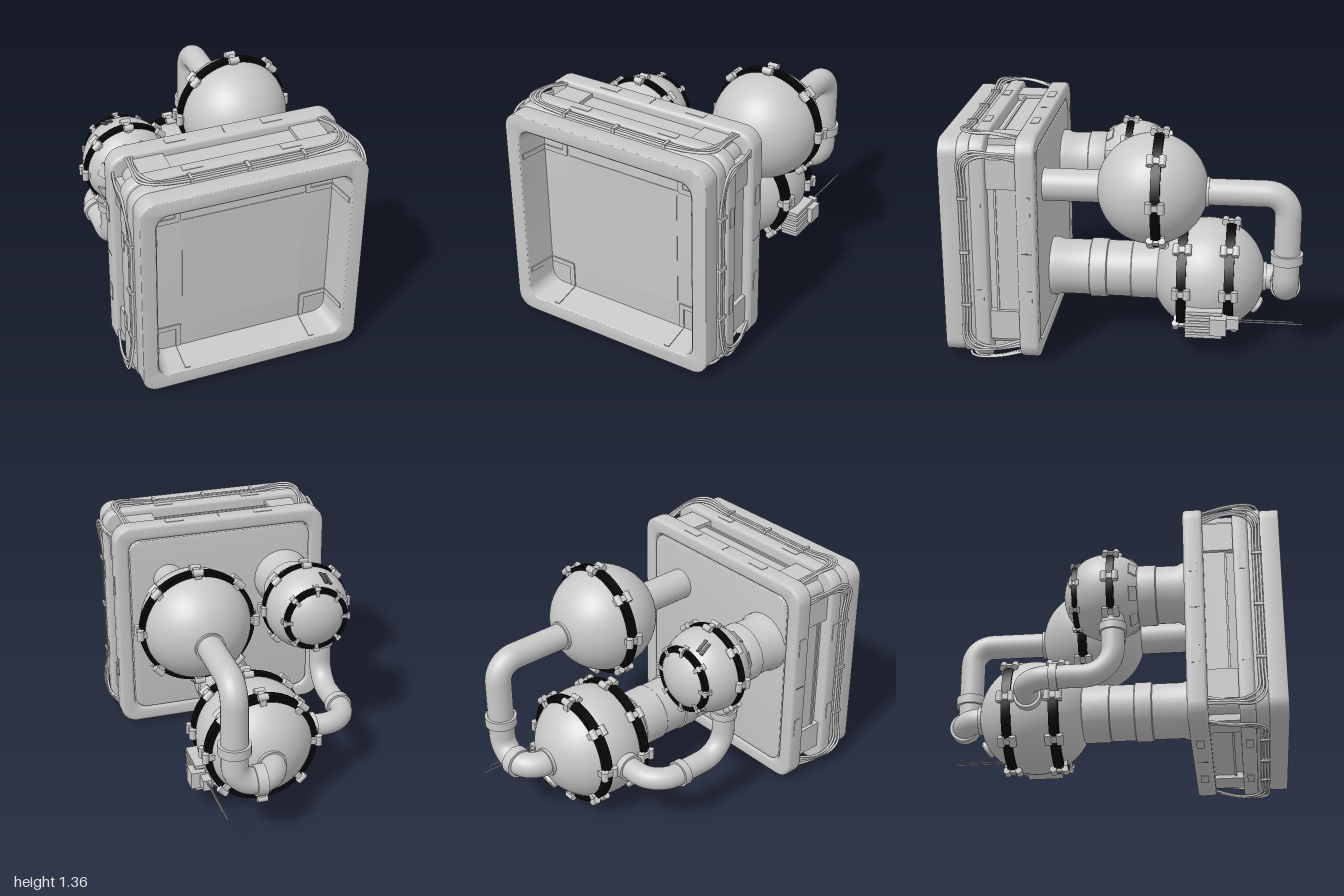
import * as THREE from 'three';
import { toCreasedNormals } from 'three/addons/utils/BufferGeometryUtils.js';

const V = (x, y, z) => new THREE.Vector3(x, y, z);
const MID = 0.68; // height of the panel centre

export function createModel() {
  const metal = new THREE.MeshStandardMaterial({ color: 0xc8c8c8 });
  metal.name = 'grey metal';
  metal.side = THREE.DoubleSide;
  const rubber = new THREE.MeshStandardMaterial({ color: 0x060606 });
  rubber.name = 'black rubber';
  const dark = new THREE.MeshStandardMaterial({ color: 0x5a5a5a });
  dark.name = 'dark slits';

  const model = new THREE.Group();
  model.name = 'pressureVesselModule';

  const add = (parent, name, geo, mat = metal, p = [0, 0, 0]) => {
    const m = new THREE.Mesh(geo, mat);
    m.name = name;
    m.position.set(...p);
    parent.add(m);
    return m;
  };
  const group = (parent, name, x = 0, y = 0, z = 0) => {
    const g = new THREE.Group();
    g.name = name;
    g.position.set(x, y, z);
    parent.add(g);
    return g;
  };
  // Box given by its limits
  const box = (parent, name, x0, x1, y0, y1, z0, z1, mat) =>
    add(parent, name, new THREE.BoxGeometry(x1 - x0, y1 - y0, z1 - z0), mat,
      [(x0 + x1) / 2, (y0 + y1) / 2, (z0 + z1) / 2]);

  // Square outline with rounded corners
  const outline = (h, r, C = THREE.Shape) => {
    const s = new C();
    [[1, 1], [-1, 1], [-1, -1], [1, -1]].forEach(([sx, sy], i) =>
      s.absarc(sx * (h - r), sy * (h - r), r, i * Math.PI / 2, (i + 1) * Math.PI / 2, false));
    s.closePath();
    return s;
  };
  const slab = (parent, name, h, r, z0, z1, bevel, hole) => {
    const s = outline(h, r);
    if (hole) s.holes.push(outline(hole, 0.07, THREE.Path));
    const geo = new THREE.ExtrudeGeometry(s, {
      depth: z1 - z0 - 2 * bevel, bevelThickness: bevel, bevelSize: bevel,
      bevelOffset: -bevel, bevelSegments: 3, curveSegments: 8,
    });
    return add(parent, name, toCreasedNormals(geo, 0.6), metal, [0, 0, z0 + bevel]);
  };

  // Turned part along z, from [radius, z] pairs
  const turned = (parent, name, profile, mat = metal, p) => {
    const geo = new THREE.LatheGeometry(profile.map(([r, z]) => new THREE.Vector2(r, z)), 48);
    geo.rotateX(Math.PI / 2);
    return add(parent, name, toCreasedNormals(geo, 0.6), mat, p);
  };

  // Pipe along points with rounded bends
  const pipe = (parent, name, pts, radius, bend) => {
    const path = new THREE.CurvePath();
    let from = pts[0];
    for (let i = 1; i < pts.length - 1; i++) {
      const toward = (q) => pts[i].clone().add(q.clone().sub(pts[i]).setLength(bend));
      const a = toward(pts[i - 1]), b = toward(pts[i + 1]);
      const k1 = a.clone().lerp(pts[i], 0.55), k2 = b.clone().lerp(pts[i], 0.55);
      path.add(new THREE.LineCurve3(from, a));
      path.add(new THREE.CubicBezierCurve3(a, k1, k2, b));
      from = b;
    }
    path.add(new THREE.LineCurve3(from, pts[pts.length - 1]));
    return add(parent, name, new THREE.TubeGeometry(path, 80, radius, 24), metal);
  };
  const collar = (parent, name, p, dir, r, len) => {
    const m = add(parent, name, new THREE.CylinderGeometry(r, r, len, 32), metal, p);
    m.quaternion.setFromUnitVectors(V(0, 1, 0), dir.clone().normalize());
    return m;
  };

  // ---- Square housing ----
  const housing = group(model, 'housing', 0, MID, 0);
  slab(housing, 'frontFrame', 0.632, 0.09, 0.885, 1.0, 0.006, 0.545);
  slab(housing, 'frontFlange', 0.64, 0.1, 0.815, 0.895, 0.01, 0.545);
  slab(housing, 'middleFlange', 0.655, 0.1, 0.74, 0.825, 0.016);
  slab(housing, 'core', 0.585, 0.06, 0.55, 0.75, 0.005);
  slab(housing, 'rearFlange', 0.652, 0.1, 0.465, 0.575, 0.018, 0.565);
  slab(housing, 'rearInset', 0.56, 0.075, 0.47, 0.56, 0.005);

  // Tapered walls inside the front opening
  const ring = outline(0.542, 0.07).getPoints(8);
  const pos = [], idx = [];
  ring.forEach((p, i) => {
    pos.push(p.x, p.y, 0.995, p.x * 0.945, p.y * 0.945, 0.824);
    const a = 2 * i, b = 2 * ((i + 1) % ring.length);
    idx.push(a, b, a + 1, b, b + 1, a + 1);
  });
  const liner = new THREE.BufferGeometry();
  liner.setAttribute('position', new THREE.Float32BufferAttribute(pos, 3));
  liner.setIndex(idx);
  add(housing, 'openingWalls', toCreasedNormals(liner, 0.6), metal);
  box(housing, 'innerPanel', -0.345, 0.345, -0.36, 0.36, 0.82, 0.828);

  // Each of the four sides: y points outward, x runs along the side
  for (let i = 0; i < 4; i++) {
    const side = group(housing, 'housingSide');
    side.rotation.z = i * Math.PI / 2;
    box(side, 'sidePanel', -0.36, 0.36, 0.57, 0.6, 0.57, 0.695);
    box(side, 'sidePanelRim', -0.37, 0.37, 0.57, 0.608, 0.69, 0.702);
    box(side, 'flangeSeam', -0.003, 0.003, 0.62, 0.653, 0.49, 0.55, dark);
    box(side, 'cableClip', -0.01, 0.01, 0.62, 0.662, 0.84, 0.895);
    for (const s of [-1, 1]) {
      const span = (a, b) => [Math.min(s * a, s * b), Math.max(s * a, s * b)];
      box(side, 'sideBlock', ...span(0.36, 0.53), 0.57, 0.622, 0.57, 0.745);
      box(side, 'flangePad', ...span(0.22, 0.33), 0.64, 0.655, 0.495, 0.54);
      box(side, 'flangePad', ...span(0.22, 0.33), 0.64, 0.658, 0.765, 0.805);
      box(side, 'cableClip', ...span(0.305, 0.322), 0.62, 0.662, 0.84, 0.895);
      // Bars inside the opening, on the back wall and on the tapered wall
      box(side, 'innerBar', ...span(0.355, 0.385), 0.36, 0.515, 0.82, 0.832);
      const bar = add(side, 'wallBar', new THREE.BoxGeometry(0.03, 0.01, 0.16), metal,
        [s * 0.37, 0.526, 0.905]);
      bar.rotation.x = -0.172;
      // Loose cables curling round the corner
      for (let k = 0; k < 3; k++) {
        const d = k * 0.017;
        const curve = new THREE.CatmullRomCurve3([
          V(0, 0.645, 0.85 + d), V(s * 0.36, 0.648, 0.85 + d),
          V(s * (0.5 + d), 0.66 + d / 3, 0.845 + d), V(s * (0.548 + d), 0.668, 0.79 + d),
          V(s * (0.56 + d / 2), 0.662, 0.7), V(s * (0.53 + d), 0.635, 0.57),
        ]);
        add(side, 'cable', new THREE.TubeGeometry(curve, 30, 0.0075, 8), metal);
      }
    }
  }

  // ---- Spherical tanks with black seals and clamps ----
  const tank = (name, x, y, z, r, seals) => {
    const g = group(model, name, x, y, z);
    add(g, 'tankShell', new THREE.SphereGeometry(r, 56, 36).rotateX(Math.PI / 2));
    for (const [dz, R, w, scale] of seals) {
      const seal = group(g, 'seal', 0, 0, dz);
      const h = w / 2;
      turned(seal, 'sealBand', [[R - 0.05, -h], [R, -h], [R, h], [R - 0.05, h]], rubber);
      for (let i = 0; i < 8; i++) {
        const c = group(seal, 'clamp');
        c.rotation.z = i * Math.PI / 4;
        const e = 0.034 * scale, t = 0.018 * scale;
        box(c, 'clampBridge', -t, t, R - 0.03, R + 0.014 * scale, -e, e);
        for (const s of [-1, 1]) {
          box(c, 'clampFoot', -t, t, R - 0.05, R, s * e - 0.012 * scale, s * e + 0.012 * scale);
          collar(c, 'clampLug', [0, R + 0.004 * scale, s * e], V(1, 0, 0), 0.02 * scale, 0.06 * scale);
        }
      }
    }
    return g;
  };
  const small = tank('smallTank', -0.39, 0.9, 0.022, 0.248, [[0.033, 0.257, 0.042, 0.9], [-0.172, 0.192, 0.03, 0.55]]);
  tank('lowerTank', 0.08, 0.375, -0.45, 0.332, [[0.14, 0.328, 0.054, 1], [-0.13, 0.328, 0.054, 1]]);
  tank('upperTank', 0.33, 0.98, -0.143, 0.312, [[-0.039, 0.33, 0.052, 1]]);

  // Slits on top of the small tank
  for (const x of [-0.092, -0.066]) {
    const slit = add(small, 'slit', new THREE.BoxGeometry(0.019, 0.008, 0.085), dark,
      [x, Math.sqrt(0.248 ** 2 - x * x - 0.1 ** 2) + 0.001, -0.1]);
    slit.rotation.set(-0.43, 0.15, 0.33);
  }
  // Raised pads round the front of the small tank
  for (let i = 0; i < 8; i++) {
    const g = group(small, 'tankPad', 0, 0, 0.15);
    g.rotation.z = (i + 0.5) * Math.PI / 4;
    const pad = add(g, 'pad', new THREE.BoxGeometry(0.08, 0.02, 0.05), metal, [0, 0.19, 0]);
    pad.rotation.x = 0.66;
  }

  // ---- Straight pipes into the housing ----
  turned(model, 'smallTankPipe', [[0.155, 0.17], [0.172, 0.2], [0.172, 0.3], [0.163, 0.305],
    [0.163, 0.42], [0.176, 0.445], [0.176, 0.48]], metal, [-0.39, 0.9, 0]);
  turned(model, 'lowerTankPipe', [[0.165, -0.2], [0.165, 0.135], [0.174, 0.14], [0.174, 0.235],
    [0.163, 0.24], [0.163, 0.41], [0.174, 0.44], [0.174, 0.48]], metal, [0.07, 0.38, 0]);
  turned(model, 'lowerTankSleeve', [[0.165, -0.17], [0.17, -0.165], [0.17, -0.01], [0.165, -0.005]], metal, [0.07, 0.38, 0]);
  turned(model, 'upperTankPipe', [[0.092, 0.1], [0.092, 0.48]], metal, [0.33, 0.98, 0]);

  // ---- Bent pipe from the upper to the lower tank ----
  const X = V(1, 0, 0), Y = V(0, 1, 0), Z = V(0, 0, 1);
  pipe(model, 'rearPipe', [V(0.33, 0.97, -0.4), V(0.33, 0.97, -0.9), V(0.33, 0.37, -0.9),
    V(0.08, 0.37, -0.9), V(0.08, 0.37, -0.74)], 0.075, 0.12);
  collar(model, 'rearPipeCollar', [0.33, 0.595, -0.9], Y, 0.092, 0.055);
  collar(model, 'rearPipeCollar', [0.19, 0.37, -0.9], X, 0.088, 0.06);
  collar(model, 'rearPipeCollar', [0.33, 0.97, -0.445], Z, 0.085, 0.03);
  collar(model, 'rearPipeCollar', [0.08, 0.37, -0.775], Z, 0.085, 0.03);

  // ---- Bent pipe from the lower to the small tank ----
  pipe(model, 'crossPipe', [V(-0.2, 0.37, -0.45), V(-0.5, 0.37, -0.45), V(-0.5, 0.37, 0.06),
    V(-0.5, 0.72, 0.06)], 0.065, 0.16);
  collar(model, 'crossPipeCollar', [-0.26, 0.37, -0.45], X, 0.08, 0.05);
  collar(model, 'crossPipeCollar', [-0.5, 0.37, -0.265], Z, 0.077, 0.045);
  collar(model, 'crossPipeCollar', [-0.5, 0.645, 0.06], Y, 0.077, 0.045);

  // Short drain stub low on the back of the lower tank
  const drainDir = V(0.03, -0.17, -0.28);
  collar(model, 'drainStub', [0.108, 0.217, -0.71], drainDir, 0.045, 0.1);
  collar(model, 'drainStubCap', [0.111, 0.2, -0.738], drainDir, 0.053, 0.02);

  // ---- Finned receiver with two thin aerials ----
  const receiver = group(model, 'receiver');
  box(receiver, 'finCore', 0.33, 0.43, 0.145, 0.285, -0.54, -0.36);
  for (let i = 0; i < 5; i++) {
    const y = 0.13 + i * 0.035;
    box(receiver, 'fin', 0.35, 0.455, y, y + 0.02, -0.55, -0.34);
  }
  box(receiver, 'receiverBox', 0.4, 0.485, 0.16, 0.26, -0.575, -0.48);
  box(receiver, 'receiverCap', 0.385, 0.435, 0.18, 0.245, -0.645, -0.57);
  [[0.412, 0.235, 0.95], [0.4, 0.217, 1.0]].forEach(([x, y, end]) =>
    collar(receiver, 'aerial', [x, y, -(0.6 + end) / 2], Z, 0.004, end - 0.6));

  return model;
}
